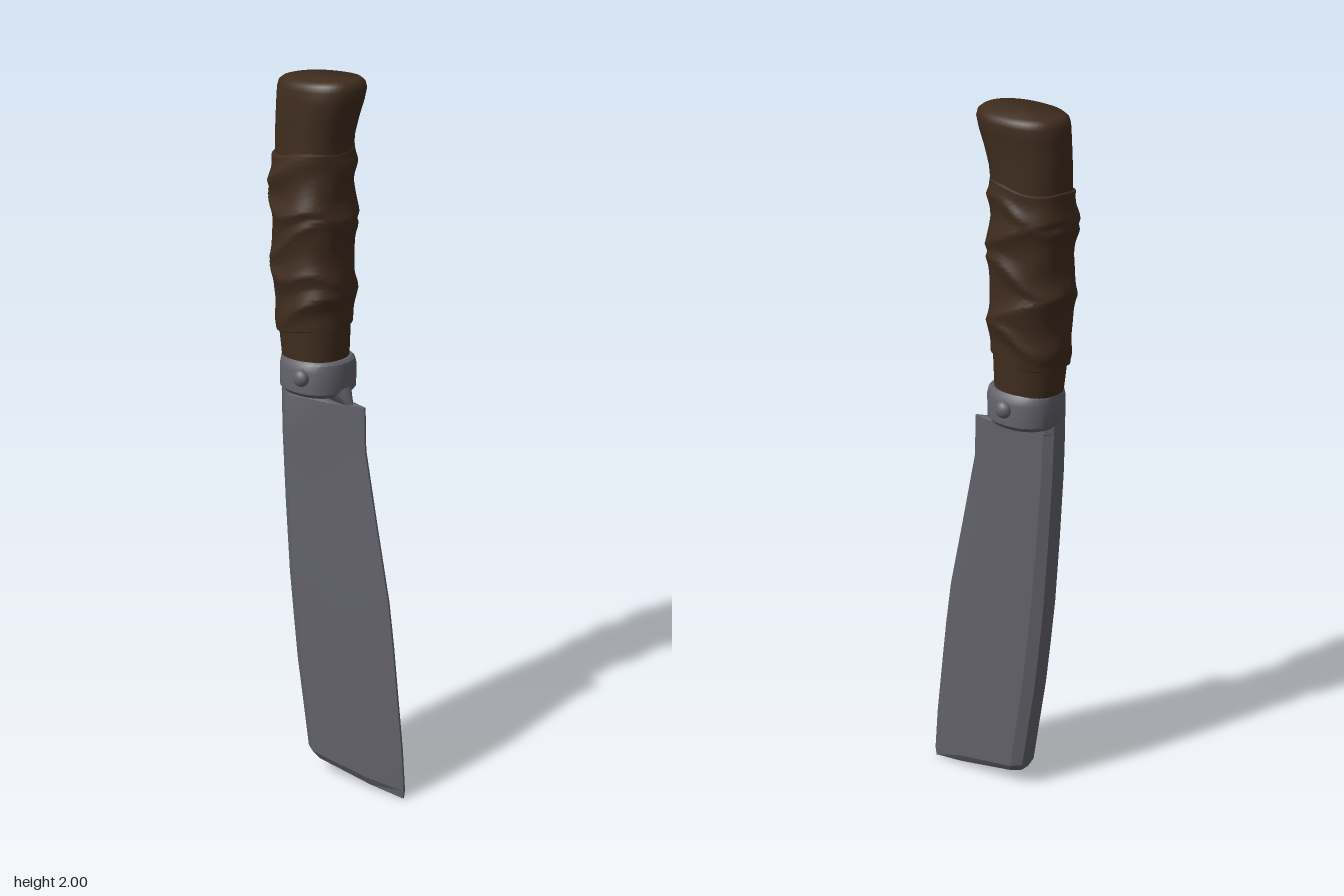
import * as THREE from 'three';
import { toCreasedNormals } from 'three/addons/utils/BufferGeometryUtils.js';

// Skin a stack of closed rings (bottom to top) and cap both ends
function loft(rings, crease) {
  const n = rings[0].length, pos = [], idx = [];
  rings.forEach(r => r.forEach(p => pos.push(p[0], p[1], p[2])));
  for (let j = 0; j < rings.length - 1; j++) {
    for (let i = 0; i < n; i++) {
      const a = j * n + i, b = j * n + (i + 1) % n;
      idx.push(a, a + n, b, b, a + n, b + n);
    }
  }
  [0, rings.length - 1].forEach(j => {
    const c = pos.length / 3;
    for (let k = 0; k < 3; k++) pos.push(rings[j].reduce((s, p) => s + p[k], 0) / n);
    for (let i = 0; i < n; i++) {
      const a = j * n + i, b = j * n + (i + 1) % n;
      if (j === 0) idx.push(c, a, b); else idx.push(c, b, a);
    }
  });
  const g = new THREE.BufferGeometry();
  g.setAttribute('position', new THREE.Float32BufferAttribute(pos, 3));
  g.setIndex(idx);
  return toCreasedNormals(g, crease);
}

// Oval ring from its bounds, with an optional bulge rule
function oval(y, x0, x1, z0, z1, n, bulge = () => 0, lift = () => 0) {
  return Array.from({ length: n }, (_, i) => {
    const a = i / n * Math.PI * 2, c = Math.cos(a), s = Math.sin(a), h = bulge(a);
    const k = 1 / Math.pow(c ** 2.4 + 0 || Math.abs(c) ** 2.4, 0) ;
    const q = Math.pow(Math.abs(c) ** 2.3 + Math.abs(s) ** 2.3, -1 / 2.3) * k;
    return [
      (x0 + x1) / 2 + c * q * ((x1 - x0) / 2 + h),
      y + lift(a),
      (z0 + z1) / 2 + s * q * ((z1 - z0) / 2 + h),
    ];
  });
}

// Interpolate a table of rows keyed by their first value
function sample(rows, y) {
  let i = 0;
  while (i < rows.length - 2 && y > rows[i + 1][0]) i++;
  const t = THREE.MathUtils.clamp((y - rows[i][0]) / (rows[i + 1][0] - rows[i][0]), 0, 1);
  return rows[i].map((v, k) => v + (rows[i + 1][k] - v) * t);
}

export function createModel() {
  const model = new THREE.Group();
  const steel = new THREE.MeshStandardMaterial({ color: 0x62616a });
  steel.name = 'steel';
  const leather = new THREE.MeshStandardMaterial({ color: 0x3f2c1e });
  leather.name = 'brown leather';
  const add = (name, geometry, material) => {
    const m = new THREE.Mesh(geometry, material);
    m.name = name;
    model.add(m);
    return m;
  };

  // Blade: [edge y, edge z, spine y, spine z, width scale, x shift]
  const stations = [
    [0, 0.235, 0.05, -0.068, 0.6, 0],
    [0.025, 0.238, 0.075, -0.08, 1, 0],
    [0.15, 0.228, 0.2, -0.1, 1, 0],
    [0.3, 0.21, 0.34, -0.123, 1, 0],
    [0.45, 0.19, 0.47, -0.14, 1, 0.002],
    [0.58, 0.17, 0.6, -0.155, 1, 0.003],
    [0.8, 0.12, 0.8, -0.171, 0.98, 0.005],
    [1.0, 0.075, 1.0, -0.185, 0.95, 0.008],
    [1.12, 0.07, 1.12, -0.19, 0.92, 0.01],
    [1.125, 0.012, 1.125, -0.19, 0.92, 0.01],
    [1.18, 0.0, 1.18, -0.188, 0.9, 0.01],
  ];
  // Half section from spine to edge: [fraction of depth, half width]
  const section = [[1, 0.026], [0.91, 0.042], [0.33, 0.029], [0, 0.003]];
  const bladeRings = stations.map(([ye, ze, ys, zs, w, dx]) => {
    const point = side => ([f, h]) =>
      [dx - 0.035 * f + side * h * w, ye + (ys - ye) * f, ze + (zs - ze) * f];
    return [...section.map(point(1)), ...[...section].reverse().map(point(-1))];
  });
  add('blade', loft(bladeRings, 0.3), steel);

  // Collar with a tapered tongue running down to the blade heel
  const collar = [
    [1.142, -0.088, 0.078, -0.185, 0.0],
    [1.155, -0.102, 0.09, -0.194, 0.01],
    [1.215, -0.1, 0.09, -0.196, 0.012],
    [1.235, -0.094, 0.085, -0.194, 0.008],
    [1.242, -0.086, 0.078, -0.188, 0.0],
  ];
  add('collar', loft(collar.map(r => oval(...r, 40)), 0.6), steel);
  const tongue = [
    [1.118, -0.012, 0.012, -0.05, 0.035],
    [1.145, -0.035, 0.028, -0.06, 0.022],
    [1.17, -0.05, 0.042, -0.06, 0.008],
  ];
  add('collarTongue', loft(tongue.map(r => oval(...r, 16)), 0.6), steel);

  // Domed rivets on both cheeks of the collar
  [[0.091, -0.092], [-0.1, -0.062]].forEach(([x, z]) => {
    const rivet = add('rivet', new THREE.SphereGeometry(0.024, 16, 12), steel);
    rivet.scale.x = 0.8;
    rivet.position.set(x, 1.2, z);
  });

  // Handle core with a flared pommel
  const core = [
    [1.235, -0.088, 0.076, -0.193, -0.008],
    [1.33, -0.092, 0.08, -0.205, -0.004],
    [1.55, -0.092, 0.09, -0.215, -0.008],
    [1.78, -0.085, 0.098, -0.222, -0.012],
    [1.85, -0.083, 0.1, -0.224, -0.004],
    [1.9, -0.081, 0.102, -0.224, 0.012],
    [1.94, -0.08, 0.106, -0.224, 0.027],
    [1.97, -0.078, 0.11, -0.224, 0.033],
    [1.986, -0.074, 0.107, -0.219, 0.028],
    [1.995, -0.064, 0.098, -0.208, 0.016],
  ];
  const topTilt = y => a => 0.005 * Math.sin(a) * THREE.MathUtils.smoothstep(y, 1.9, 1.98);
  add('handle', loft(core.map(r => oval(...r, 48, undefined, topTilt(r[0]))), 0.9), leather);

  // Leather wrap: crossing spiral folds over a swollen grip
  const wrap = [
    [1.32, -0.097, 0.088, -0.211, 0.0],
    [1.45, -0.1, 0.096, -0.219, 0.0],
    [1.6, -0.1, 0.1, -0.224, -0.002],
    [1.8, -0.096, 0.105, -0.227, -0.008],
  ];
  const fold = y => a => {
    const mid = THREE.MathUtils.smoothstep(y, 1.32, 1.4) * (1 - THREE.MathUtils.smoothstep(y, 1.74, 1.81));
    const up = 1 - Math.abs(Math.sin(a / 2 + 15 * y + 0.35 * Math.sin(2 * a)));
    const down = 1 - Math.abs(Math.sin(a / 2 - 18 * y + 0.3 * Math.sin(3 * a + 1)));
    return mid * (0.013 * Math.max(up, down) ** 1.5 - 0.002 + 0.0015 * Math.sin(3 * a + 45 * y));
  };
  const wavy = a => 0.012 * Math.sin(a + 0.6) + 0.005 * Math.sin(3 * a);
  const wrapRings = [];
  for (let i = 0; i <= 70; i++) {
    const y = 1.325 + i / 70 * 0.475;
    wrapRings.push(oval(y, ...sample(wrap, y).slice(1), 72, fold(y), wavy));
  }
  // Tuck both ends of the wrap into the core
  const tuck = (y, d) => oval(y, ...sample(wrap, y).slice(1), 72, () => -d, wavy);
  add('gripWrap', loft([tuck(1.318, 0.012), ...wrapRings, tuck(1.808, 0.014)], 0.8), leather);

  return model;
}
